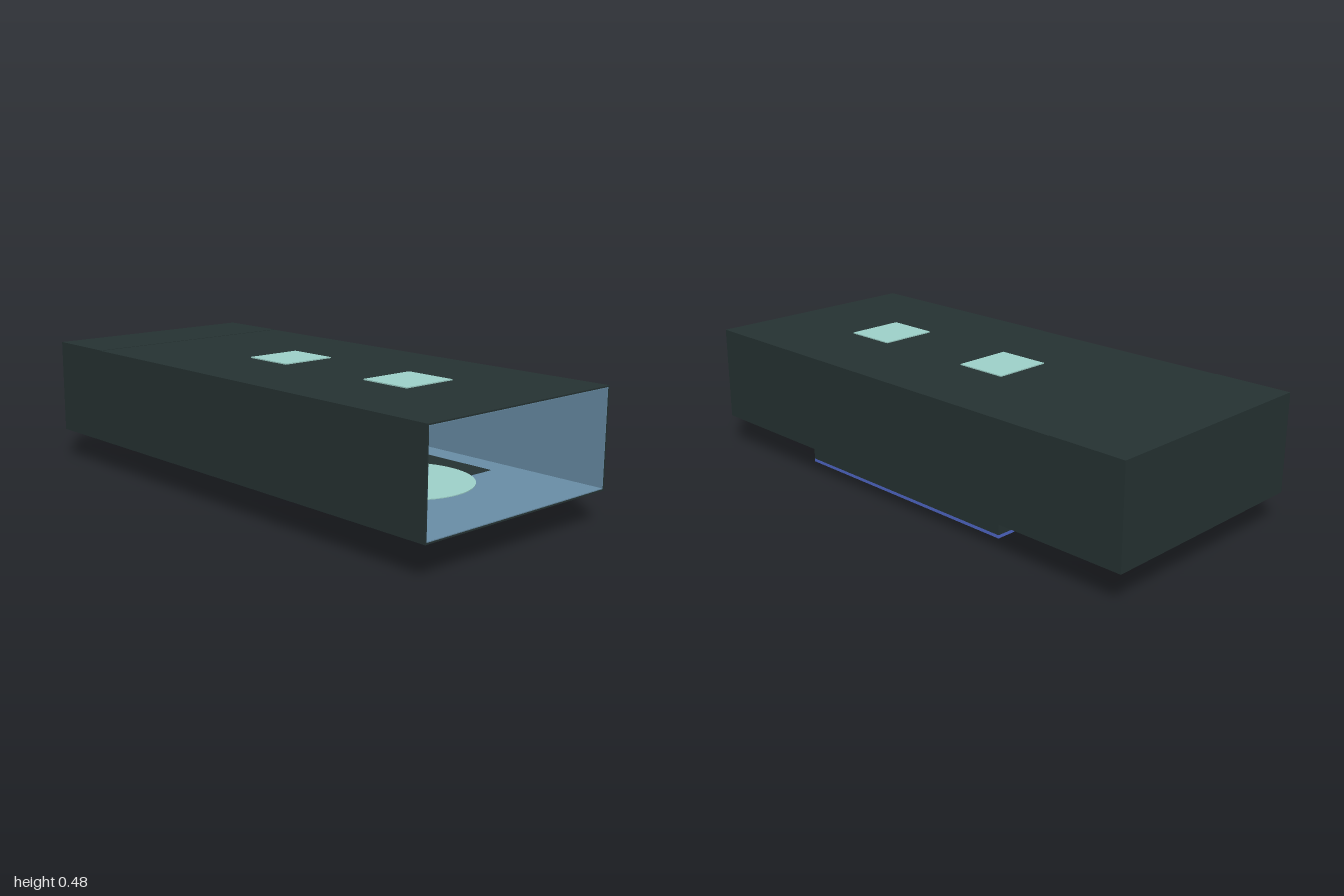
import * as THREE from 'three';

const mat = (name, color) => {
  const m = new THREE.MeshStandardMaterial({ color });
  m.name = name;
  return m;
};

export function createModel() {
  const dark = mat('charcoal', 0x263333);
  const wallBlue = mat('wallBlue', 0x6a8fa8);
  const teal = mat('paleTeal', 0xa0d4cc);
  const blue = mat('trimBlue', 0x5068c8);
  const grey = mat('panelGrey', 0xd0cecd);
  const slate = mat('slate', 0x566060);

  const root = new THREE.Group();
  root.name = 'openEndedHall';

  const add = (name, geo, material, x = 0, y = 0, z = 0) => {
    const m = new THREE.Mesh(geo, material);
    m.name = name;
    m.position.set(x, y, z);
    root.add(m);
    return m;
  };
  // Box given by its limits on each axis
  const box = (name, material, x0, x1, y0, y1, z0, z1) =>
    add(name, new THREE.BoxGeometry(x1 - x0, y1 - y0, z1 - z0), material,
      (x0 + x1) / 2, (y0 + y1) / 2, (z0 + z1) / 2);
  // Thin horizontal plate with rounded corners
  const roundedPlate = (name, material, x0, x1, z0, z1, r, y, t) => {
    const s = new THREE.Shape();
    s.moveTo(x0 + r, -z1);
    s.lineTo(x1 - r, -z1).quadraticCurveTo(x1, -z1, x1, -z1 + r);
    s.lineTo(x1, -z0 - r).quadraticCurveTo(x1, -z0, x1 - r, -z0);
    s.lineTo(x0 + r, -z0).quadraticCurveTo(x0, -z0, x0, -z0 - r);
    s.lineTo(x0, -z1 + r).quadraticCurveTo(x0, -z1, x0 + r, -z1);
    const g = new THREE.ExtrudeGeometry(s, { depth: t, bevelEnabled: false, curveSegments: 8 });
    g.rotateX(-Math.PI / 2);
    return add(name, g, material, 0, y, 0);
  };

  // Outer shell, open at the +x end
  const y0 = 0.118, y1 = 0.475, w = 0.435, t = 0.005;
  box('floorShell', dark, -1, 1, y0, y0 + t, -w, w);
  box('roofShell', dark, -1, 1, y1 - t, y1, -w, w);
  box('endWall', dark, -1, -1 + t, y0 + t, y1 - t, -w, w);
  for (const s of [-1, 1]) {
    const a = s * w, b = s * (w - t), c = s * (w - t - 0.003);
    box('sideWall', dark, -1 + t, 1, y0 + t, y1 - t, Math.min(a, b), Math.max(a, b));
    box('sideLining', wallBlue, -0.99, 0.998, y0 + t, y1 - t, Math.min(b, c), Math.max(b, c));
  }
  box('roofEndPanel', dark, -1, -0.71, y1, y1 + 0.0015, -w, w);

  // Interior lining
  box('floorLining', wallBlue, -0.99, 0.998, y0 + t, y0 + t + 0.003, -0.428, 0.428);
  box('ceilingLining', wallBlue, -0.99, 0.998, y1 - t - 0.003, y1 - t, -0.428, 0.428);
  box('partition', wallBlue, -0.72, -0.71, y0 + t, y1 - t, -0.428, 0.428);
  box('doorway', dark, -0.71, -0.704, 0.126, 0.372, -0.12, 0.11);
  roundedPlate('ceilingPanel', grey, -0.68, 0.96, -0.34, 0.36, 0.14, 0.465, 0.002);

  // Dark gusset in the back upper corner
  const gusset = new THREE.Shape();
  gusset.moveTo(0, 0);
  gusset.lineTo(0.05, 0);
  gusset.quadraticCurveTo(0.03, -0.028, 0, -0.04);
  const gussetGeo = new THREE.ExtrudeGeometry(gusset, { depth: 0.008, bevelEnabled: false });
  gussetGeo.rotateY(-Math.PI / 2);
  add('cornerGusset', gussetGeo, dark, -0.70, 0.467, -0.428);

  // Round post with its foot showing below the floor
  add('post', new THREE.CylinderGeometry(0.042, 0.042, 0.342, 32), wallBlue, 0.21, 0.296, 0.24);
  add('postFoot', new THREE.CylinderGeometry(0.038, 0.038, 0.003, 32), slate, 0.21, 0.1175, 0.24);

  // Skylights, each with a pale disc on the floor beneath
  for (const x of [-0.1, 0.5]) {
    box('skylight', teal, x - 0.1, x + 0.1, 0.463, 0.479, -0.115, 0.105);
    add('floorDisc', new THREE.CylinderGeometry(0.24, 0.24, 0.003, 48), teal, x, 0.1295, 0);
  }
  box('floorHatch', dark, -0.4, 0.6, 0.126, 0.1275, -0.33, 0);

  // Hollow rectangular chute under the floor, with a blue rim
  const chute = (name, material, a, b) => {
    const k = 0.006;
    box(name, material, -0.4, 0.6, a, b, -0.33, -0.33 + k);
    box(name, material, -0.4, 0.6, a, b, -k, 0);
    box(name, material, -0.4, -0.4 + k, a, b, -0.33 + k, -k);
    box(name, material, 0.6 - k, 0.6, a, b, -0.33 + k, -k);
  };
  chute('chuteWall', dark, 0.012, y0);
  chute('chuteRim', blue, 0, 0.012);
  roundedPlate('chuteCollar', blue, -0.48, 0.68, -0.345, 0.008, 0.09, 0.103, 0.003);
  roundedPlate('chuteCollarTop', dark, -0.48, 0.68, -0.345, 0.008, 0.09, 0.106, 0.003);
  box('chuteShelf', dark, -0.394, 0.594, 0.099, 0.102, -0.324, -0.18);

  return root;
}
